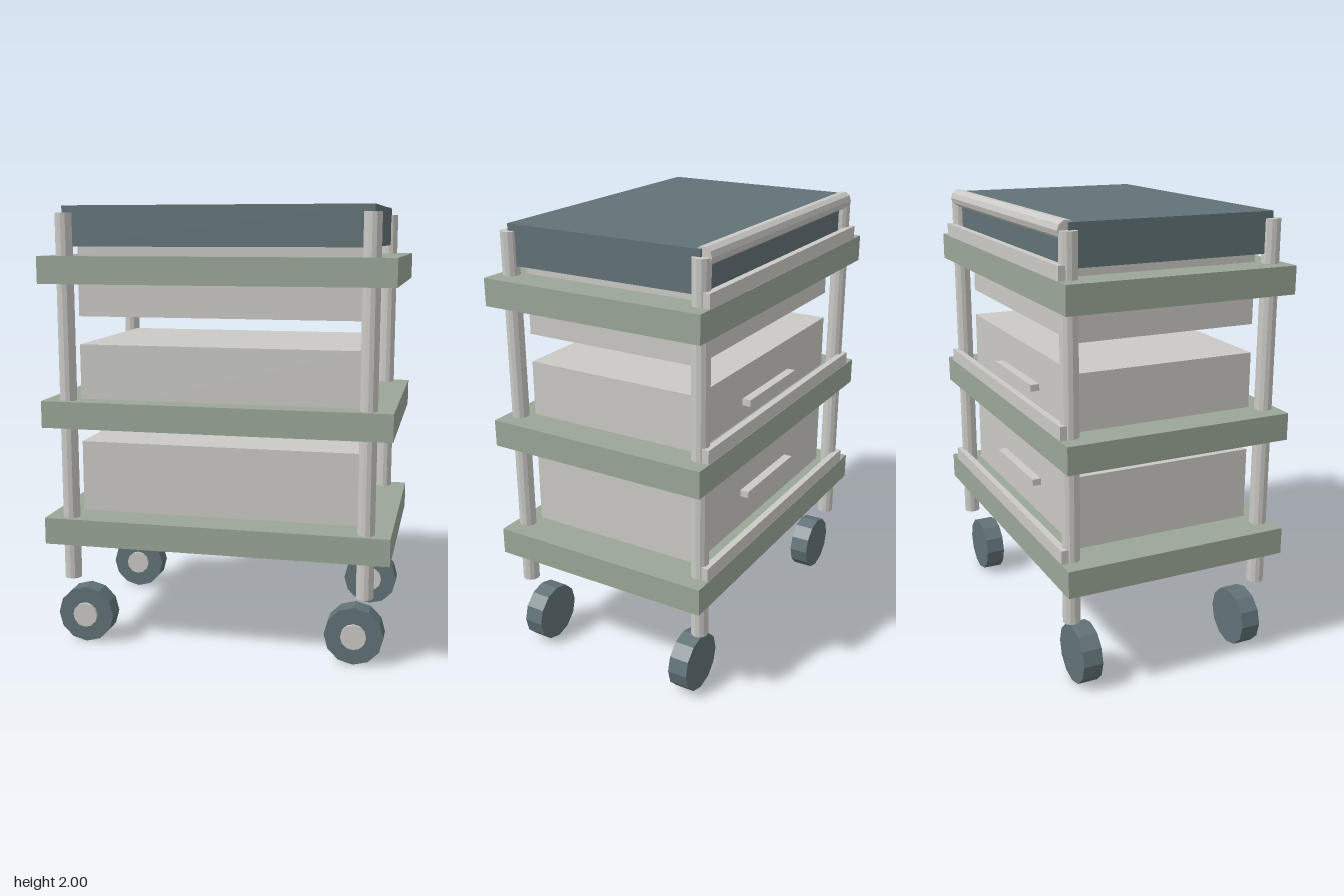
import * as THREE from 'three';

export function createModel() {
  const cart = new THREE.Group();
  cart.name = 'rollingCart';

  const material = (name, color) => {
    const m = new THREE.MeshStandardMaterial({ color, flatShading: true });
    m.name = name;
    return m;
  };
  const sage = material('sage green', 0x9aa697);
  const slate = material('slate', 0x617277);
  const pale = material('pale grey', 0xcac9c5);

  const add = (name, geometry, mat, x, y, z) => {
    const mesh = new THREE.Mesh(geometry, mat);
    mesh.name = name;
    mesh.position.set(x, y, z);
    cart.add(mesh);
    return mesh;
  };
  const box = (w, h, d) => new THREE.BoxGeometry(w, h, d);

  // Shelves, each with a low rail along the back
  for (const y of [0.545, 1.08, 1.715]) {
    add('shelf', box(1.55, 0.12, 1.03), sage, 0, y, 0);
    add('backRail', box(1.4, 0.07, 0.03), pale, 0, y + 0.085, -0.498);
  }

  // Drawers
  for (const y of [0.785, 1.225, 1.67]) {
    add('drawer', box(1.25, 0.32, 0.82), pale, 0, y, 0);
  }

  // Pull handles on the back of the lower drawers
  for (const y of [0.785, 1.225]) {
    add('drawerHandle', box(0.45, 0.03, 0.04), pale, 0, y, -0.43);
  }

  // Top block and push bar
  add('topBlock', box(1.35, 0.175, 0.915), slate, 0, 1.9025, 0.0);
  const barGeometry = new THREE.CylinderGeometry(0.04, 0.04, 1.33, 10).rotateZ(Math.PI / 2);
  add('pushBar', barGeometry, pale, 0, 1.96, -0.46);

  // Corner posts and wheels with hubs facing the front
  const postGeometry = new THREE.CylinderGeometry(0.038, 0.038, 1.64, 12);
  const wheelGeometry = new THREE.CylinderGeometry(0.131, 0.131, 0.09, 12).rotateX(Math.PI / 2);
  const hubGeometry = new THREE.CylinderGeometry(0.057, 0.057, 0.04, 12).rotateX(Math.PI / 2);
  for (const sx of [-1, 1]) {
    for (const sz of [-1, 1]) {
      add('cornerPost', postGeometry, pale, sx * 0.667, 1.14, sz * 0.457);
      const z = sz * 0.393;
      add('wheel', wheelGeometry, slate, sx * 0.62, 0.132, z);
      add('wheelHub', hubGeometry, pale, sx * 0.62, 0.132, z + 0.04);
    }
  }

  return cart;
}
